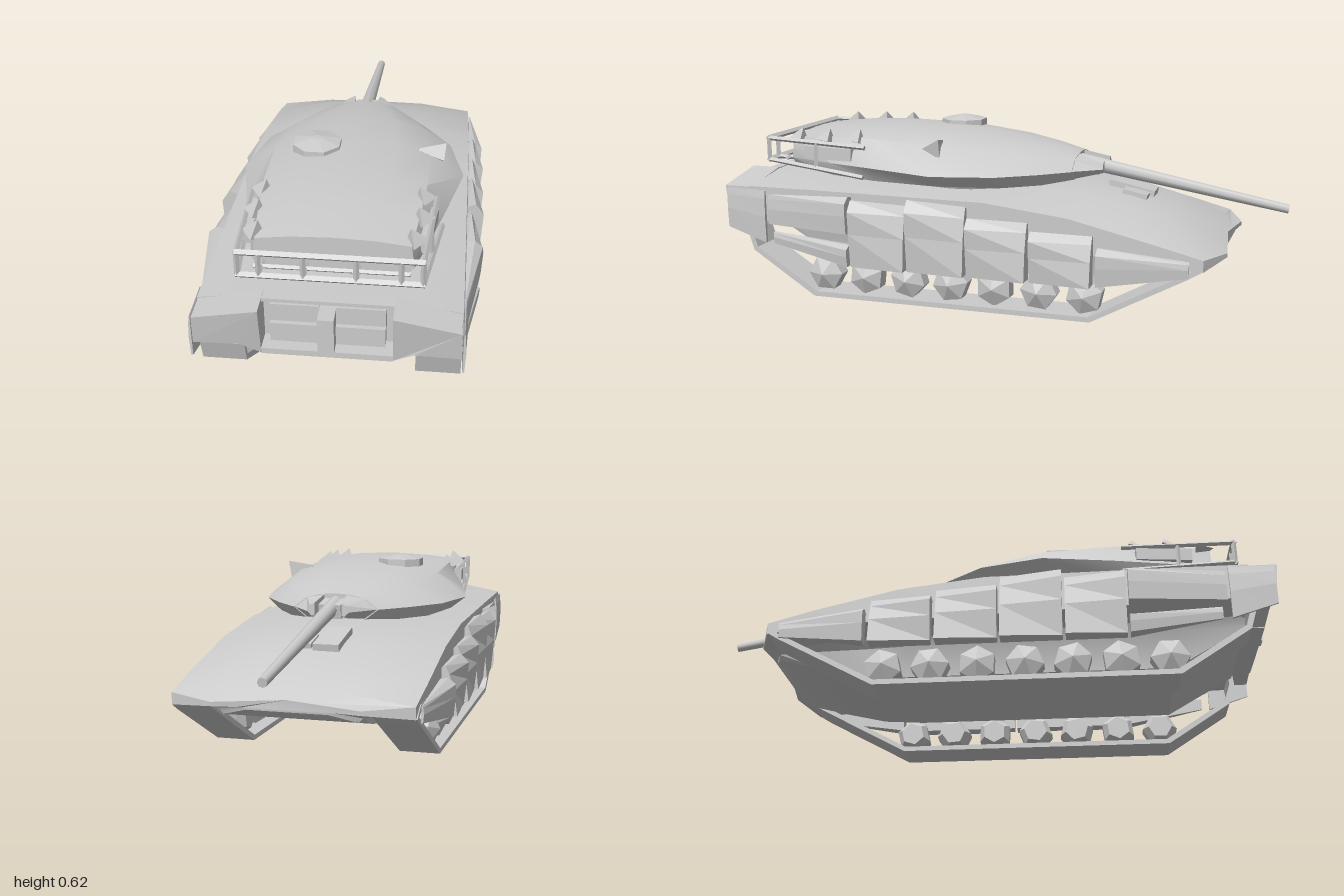
import * as THREE from 'three';
import { toCreasedNormals } from 'three/addons/utils/BufferGeometryUtils.js';

const smooth = new THREE.MeshStandardMaterial({ color: 0xcccccc });
const flat = new THREE.MeshStandardMaterial({ color: 0xcccccc, flatShading: true });

// Skin a row of rings (counterclockwise seen from +z, running towards -z)
function loft(rings, crease = 0.5) {
  const n = rings[0].length, pos = [];
  const put = (...corners) => corners.forEach(p => pos.push(...p));
  for (let i = 0; i + 1 < rings.length; i++) {
    for (let j = 0; j < n; j++) {
      const k = (j + 1) % n, [r, q] = [rings[i], rings[i + 1]];
      put(r[j], q[j], r[k], r[k], q[j], q[k]);
    }
  }
  const cap = (r, flip) => {
    const faces = THREE.ShapeUtils.triangulateShape(r.map(p => new THREE.Vector2(p[0], p[1])), []);
    for (const [a, b, c] of faces) flip ? put(r[a], r[c], r[b]) : put(r[a], r[b], r[c]);
  };
  cap(rings[0], false);
  cap(rings[rings.length - 1], true);
  const g = new THREE.BufferGeometry();
  g.setAttribute('position', new THREE.Float32BufferAttribute(pos, 3));
  return toCreasedNormals(g, crease);
}

// Complete a right half-section (bottom to top) with its mirror image
const symmetric = (z, half) => [
  ...half.map(([x, y, dz = 0]) => [x, y, z + dz]),
  ...half.filter(p => p[0] > 0).reverse().map(([x, y, dz = 0]) => [-x, y, z + dz]),
];
const onSide = (s, rings) =>
  s > 0 ? rings : rings.map(r => r.map(([x, y, z]) => [-x, y, z]).reverse());

export function createModel() {
  const root = new THREE.Group();
  const add = (name, geo, mat = smooth) => {
    const m = new THREE.Mesh(geo, mat);
    m.name = name;
    root.add(m);
    return m;
  };
  const box = (name, w, h, d, x, y, z) => {
    const m = add(name, new THREE.BoxGeometry(w, h, d), flat);
    m.position.set(x, y, z);
    return m;
  };
  const rod = (name, a, b, r0, r1 = r0, sides = 4, mat = flat) => {
    const p = new THREE.Vector3(...a), q = new THREE.Vector3(...b);
    const m = add(name, new THREE.CylinderGeometry(r1, r0, p.distanceTo(q), sides), mat);
    m.position.copy(p).add(q).multiplyScalar(0.5);
    m.quaternion.setFromUnitVectors(new THREE.Vector3(0, 1, 0), q.sub(p).normalize());
    return m;
  };

  // Hull: z, belly, fender underside, side top, deck, width factor, nose notch
  const hull = [
    [0.9, 0.245, 0.29, 0.395, 0.425, 1, 0],
    [0.65, 0.1, 0.28, 0.395, 0.42, 1, 0],
    [0, 0.1, 0.26, 0.39, 0.41, 1, 0],
    [-0.3, 0.1, 0.25, 0.355, 0.4, 1, 0],
    [-0.45, 0.11, 0.24, 0.32, 0.375, 1, 0],
    [-0.6, 0.145, 0.225, 0.285, 0.335, 1, 0],
    [-0.755, 0.185, 0.205, 0.245, 0.272, 0.99, 0],
    [-0.815, 0.212, 0.222, 0.236, 0.248, 0.6, 0.025],
  ];
  add('hull', loft(hull.map(([z, b, f, s, t, w, notch]) => symmetric(z, [
    [0.225 * w, b, notch], [0.24 * w, b + (f - b) * 0.75, notch], [0.265 * w, f, notch / 2],
    [0.405 * w, f], [0.405 * w, s], [0.2 * w, t, notch], [0, t + 0.003, notch],
  ]))));

  // Engine bay between the rear sponsons
  const bay = [[0.2, 0.255, 0.97], [0.265, 0.29, 0.98], [0.405, 0.29, 0.985], [0.402, 0.392, 0.998], [0.2, 0.43, 1]];
  for (const s of [1, -1]) {
    add('rearSponson', loft(onSide(s, [bay, bay.map(([x, y]) => [x, y, 0.89])])), flat);
    box('enginePanel', 0.15, 0.125, 0.04, s * 0.1, 0.347, 0.91);
    box('enginePanelLower', 0.15, 0.065, 0.02, s * 0.1, 0.317, 0.935);
  }
  box('engineCentreStrip', 0.05, 0.12, 0.09, 0, 0.345, 0.945);
  box('engineBaySill', 0.4, 0.02, 0.08, 0, 0.262, 0.93);
  box('engineBayTop', 0.4, 0.012, 0.04, 0, 0.422, 0.91);

  // Driver's hatch and sight on the sloping deck
  box('driverHatch', 0.09, 0.05, 0.17, -0.045, 0.375, -0.435).rotation.x = -0.2;
  box('driverPeriscope', 0.06, 0.04, 0.09, 0.04, 0.369, -0.46).rotation.x = -0.2;

  // Track bands: thin closed loops, the hole running against the outline
  const outer = [[0.65, 0], [0.89, 0.155], [0.915, 0.235], [0.91, 0.29], [-0.7, 0.24],
    [-0.75, 0.205], [-0.71, 0.18], [-0.38, 0]];
  const inner = [[0.64, 0.018], [0.875, 0.168], [0.897, 0.238], [0.893, 0.27], [-0.69, 0.225],
    [-0.72, 0.205], [-0.7, 0.195], [-0.375, 0.018]];
  const vec = p => p.map(([z, y]) => new THREE.Vector2(-z, y));
  const band = new THREE.Shape(vec(outer));
  band.holes.push(new THREE.Path(vec(inner).reverse()));
  const bandGeo = new THREE.ExtrudeGeometry(band, { depth: 0.14, bevelEnabled: false });
  bandGeo.rotateY(Math.PI / 2);

  // Road wheels: low-sided drums with a pointed hub
  const wheelProfile = [[0, -0.05], [0.045, -0.05], [0.066, -0.02], [0.066, 0.03], [0, 0.06]]
    .map(p => new THREE.Vector2(...p));
  const wheelGeo = new THREE.LatheGeometry(wheelProfile, 6);

  // Side armour panels: z rear, z front, top height at each end
  const panels = [[0.48, 0.275, 0.375, 0.365], [0.265, 0.055, 0.39, 0.375],
    [0.045, -0.165, 0.34, 0.335], [-0.18, -0.39, 0.31, 0.305]];
  const slab = (z, lo, hi, xLow, xHigh) => [
    [0.408, lo, z], [xLow, lo, z], [(xLow + xHigh) / 2 + 0.003, (lo + hi) / 2, z],
    [xHigh, hi - (hi - lo) * 0.16, z], [(0.408 + xHigh) / 2, hi, z], [0.408, hi - (hi - lo) * 0.04, z],
  ];

  for (const s of [1, -1]) {
    add('track', bandGeo, flat).position.x = s > 0 ? 0.265 : -0.405;
    for (let i = 0; i < 7; i++) {
      const w = add('roadWheel', wheelGeo, flat);
      w.position.set(s * 0.34, 0.08, 0.62 - i * 0.162);
      w.rotation.set(i * 0.4, 0, -s * Math.PI / 2);
    }
    const armour = (name, ...rings) => add(name, loft(onSide(s, rings), 0.1), flat);
    for (const [a, b, topA, topB] of panels) {
      armour('skirtPanel', slab(a, 0.135, topA, 0.45, 0.466), slab(b, 0.135, topB, 0.464, 0.435));
    }
    armour('frontSkirt', slab(-0.41, 0.14, 0.27, 0.455, 0.462), slab(-0.71, 0.185, 0.24, 0.414, 0.414));
    armour('rearSkirtUpper', slab(0.82, 0.26, 0.37, 0.414, 0.414), slab(0.49, 0.255, 0.385, 0.46, 0.462));
    armour('rearSkirtLower', slab(0.8, 0.19, 0.235, 0.414, 0.414), slab(0.49, 0.135, 0.21, 0.455, 0.46));
    armour('rearMudguard', slab(0.985, 0.24, 0.385, 0.414, 0.414), slab(0.83, 0.19, 0.385, 0.418, 0.418));
  }

  // Turret: z, then half-section of underside, flank, shoulder, crown
  const turret = [
    [0.8, [0.22, 0.445], [0.25, 0.48], [0.24, 0.555], 0.572],
    [0.62, [0.275, 0.428], [0.295, 0.475], [0.258, 0.567], 0.592],
    [0.45, [0.3, 0.42], [0.335, 0.472], [0.27, 0.567], 0.595],
    [0.2, [0.33, 0.42], [0.388, 0.465], [0.275, 0.553], 0.59],
    [-0.02, [0.285, 0.418], [0.337, 0.465], [0.23, 0.53], 0.565],
    [-0.15, [0.2, 0.42], [0.245, 0.465], [0.17, 0.515], 0.541],
    [-0.25, [0.11, 0.43], [0.155, 0.465], [0.11, 0.5], 0.518],
  ];
  add('turret', loft(turret.map(([z, b, w, s, t]) =>
    symmetric(z, [b, w, s, [s[0] * 0.55, s[1] + (t - s[1]) * 0.75], [0, t]])), 0.6));
  // Cheeks on both sides of the gun slot
  for (const s of [1, -1]) {
    add('turretCheek', loft(onSide(s, [
      [[0.04, 0.43, -0.24], [0.11, 0.43, -0.24], [0.157, 0.465, -0.24], [0.11, 0.502, -0.24], [0.04, 0.516, -0.24]],
      [[0.048, 0.45, -0.345], [0.06, 0.45, -0.345], [0.075, 0.465, -0.345], [0.065, 0.487, -0.345], [0.048, 0.495, -0.345]],
    ])), flat);
  }
  rod('turretRing', [0, 0.39, 0.16], [0, 0.43, 0.16], 0.27, 0.29, 24, smooth);
  rod('gunBarrel', [0, 0.487, -0.22], [0, 0.347, -0.997], 0.028, 0.016, 8, smooth);
  box('mantlet', 0.08, 0.05, 0.11, 0, 0.472, -0.27).rotation.x = -0.18;

  // Commander's cupola
  rod('cupola', [-0.12, 0.575, 0.25], [-0.12, 0.603, 0.25], 0.087, 0.087, 8).rotation.y = Math.PI / 8;
  rod('cupolaLid', [-0.12, 0.603, 0.25], [-0.12, 0.618, 0.25], 0.087, 0.015, 8).rotation.y = Math.PI / 8;

  // Gunner's sight: a wedge narrowing inwards
  rod('gunnerSight', [0.318, 0.55, 0.21], [0.23, 0.565, 0.21], 0.042, 0.006, 3);

  // Stowage and basket at the back of the turret
  for (const s of [1, -1]) {
    for (const [x, y, z] of [[0.265, 0.55, 0.53], [0.268, 0.548, 0.65], [0.25, 0.545, 0.77]]) {
      rod('stowageSpike', [s * x, y, z], [s * (x - 0.015), y + 0.048, z - 0.01], 0.045, 0.002, 3);
    }
    box('sideStowage', 0.03, 0.045, 0.2, s * 0.285, 0.51, 0.63).rotation.y = -s * 0.12;
    rod('basketSideTop', [s * 0.28, 0.555, 0.88], [s * 0.305, 0.54, 0.48], 0.009);
    rod('basketSideBottom', [s * 0.28, 0.475, 0.88], [s * 0.325, 0.435, 0.48], 0.009);
    for (const x of [0.08, 0.215, 0.28]) {
      rod('basketPost', [s * x, 0.475, 0.88], [s * x, 0.555, 0.88], 0.009);
      if (x < 0.28) rod('basketFloorBar', [s * x, 0.475, 0.88], [s * x, 0.475, 0.78], 0.008);
    }
    rod('basketSidePost', [s * 0.3, 0.455, 0.68], [s * 0.293, 0.548, 0.68], 0.008);
  }
  for (const y of [0.475, 0.555]) rod('basketRail', [-0.285, y, 0.88], [0.285, y, 0.88], 0.011);
  rod('basketInnerRail', [-0.24, 0.475, 0.83], [0.24, 0.475, 0.83], 0.008);

  return root;
}
